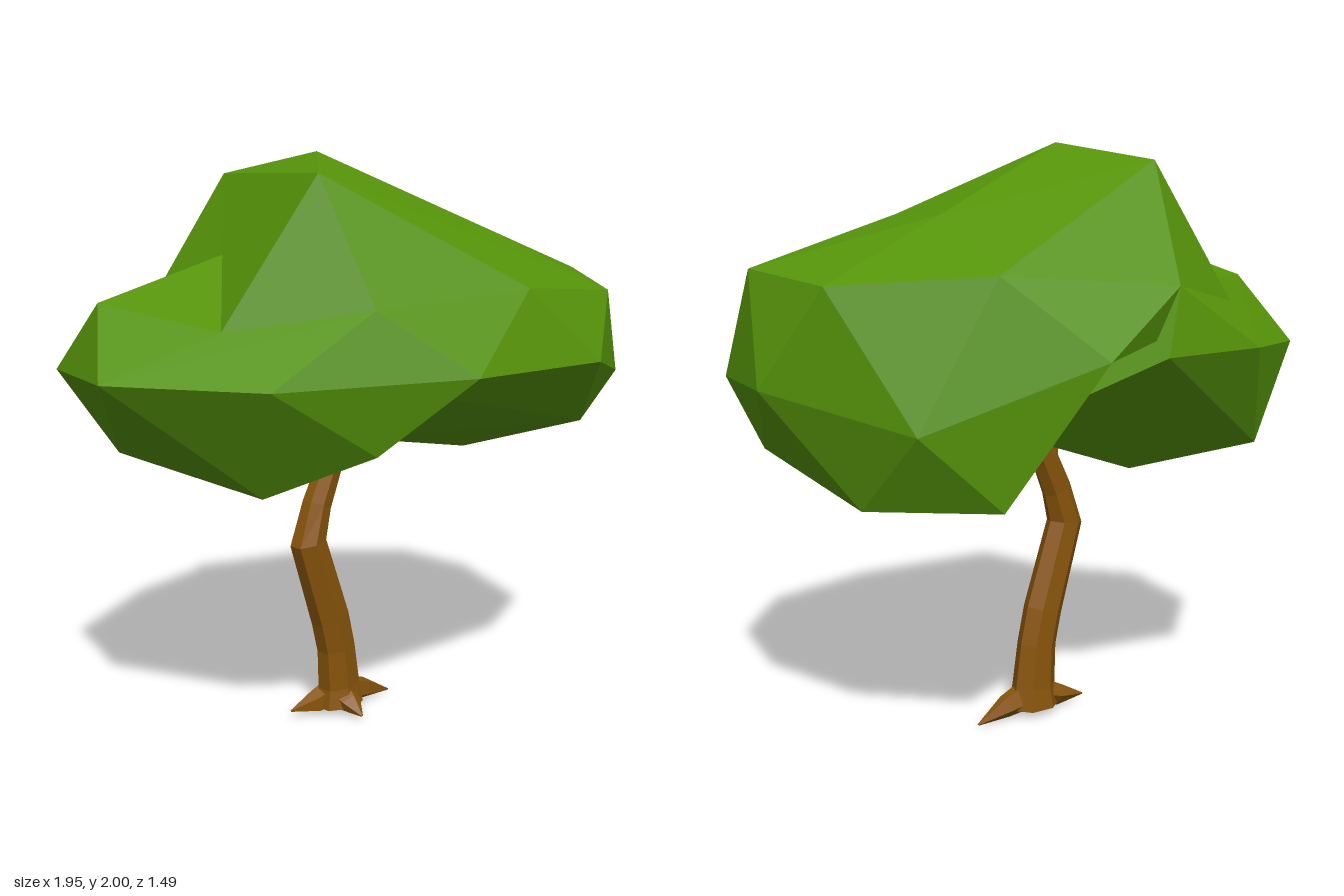
import * as THREE from 'three';
import { ConvexGeometry } from 'three/addons/geometries/ConvexGeometry.js';

const leafGreen = new THREE.MeshStandardMaterial({ color: 0x559309, flatShading: true });
leafGreen.name = 'leafGreen';
const barkBrown = new THREE.MeshStandardMaterial({ color: 0x88540b, flatShading: true });
barkBrown.name = 'barkBrown';

const v = (x, y, z) => new THREE.Vector3(x, y, z);

// Corners shared by the overlapping foliage clumps
const c = {
  peak: v(-0.15, 2, -0.03), frontCrest: v(-0.43, 1.93, 0.25), backCrest: v(-0.2, 1.93, -0.43),
  notch: v(-0.42, 1.68, -0.17), notchFront: v(-0.7, 1.47, 0.11), notchBack: v(-0.46, 1.46, -0.56),
  shoulder: v(-0.43, 1.54, 0.48), ridge: v(0.41, 1.755, -0.08), slope: v(0.26, 1.76, 0.33),
  backSlope: v(0.5, 1.58, -0.45), backValley: v(-0.05, 1.54, -0.67),
  endFront: v(0.87, 1.59, 0.3), endBack: v(0.87, 1.55, -0.1),
  brow: v(0.11, 1.58, 0.64), browEnd: v(0.62, 1.54, 0.61),
  rimA: v(-0.19, 1.335, 0.68), rimB: v(0.38, 1.33, 0.74), rimC: v(0.27, 1.33, -0.68),
  rimD: v(-0.73, 1.32, 0.35), rimE: v(-0.36, 1.335, -0.75), rimF: v(-0.98, 1.32, -0.12),
  crown: v(0.07, 1.2, -0.07), valley: v(0.29, 1.07, -0.24), lowFront: v(-0.59, 0.95, 0.16),
};

function clump(name, points) {
  const mesh = new THREE.Mesh(new ConvexGeometry(points), leafGreen);
  mesh.name = name;
  return mesh;
}

// Faceted tapering tube, slightly flattened, through [x, y, z, radius] stations
function limb(name, stations, sides) {
  const up = v(0, 1, 0);
  const pos = [], index = [];
  stations.forEach(([x, y, z, r], k) => {
    const a = stations[Math.max(k - 1, 0)], b = stations[Math.min(k + 1, stations.length - 1)];
    const dir = v(b[0] - a[0], b[1] - a[1], b[2] - a[2]).normalize();
    const turn = new THREE.Quaternion().setFromUnitVectors(up, dir);
    for (let i = 0; i < sides; i++) {
      const t = (i / sides) * Math.PI * 2;
      const p = v(Math.cos(t) * r, 0, Math.sin(t) * r * 0.8).applyQuaternion(turn);
      pos.push(x + p.x, Math.max(0, y + p.y), z + p.z);
      if (k === 0) continue;
      const hi = k * sides, lo = hi - sides, j = (i + 1) % sides;
      index.push(lo + i, hi + i, lo + j, lo + j, hi + i, hi + j);
    }
  });
  const geo = new THREE.BufferGeometry();
  geo.setAttribute('position', new THREE.Float32BufferAttribute(pos, 3));
  geo.setIndex(index);
  geo.computeVertexNormals();
  const mesh = new THREE.Mesh(geo, barkBrown);
  mesh.name = name;
  return mesh;
}

export function createModel() {
  const tree = new THREE.Group();
  tree.name = 'tree';

  // Foliage: domed top in three pieces, drooping clump on the left, lower clumps on the right
  const foliage = new THREE.Group();
  foliage.name = 'foliage';
  foliage.add(
    clump('topFrontFoliage', [
      c.peak, c.frontCrest, c.backCrest, c.notch, c.notchFront, c.shoulder, c.ridge,
      c.slope, c.brow, c.browEnd, c.rimA, c.rimB, c.rimC, c.crown,
    ]),
    clump('topBackFoliage', [
      c.peak, c.backCrest, c.notch, c.notchBack, c.backValley, c.ridge, c.backSlope,
      c.rimC, c.crown,
    ]),
    clump('topEndFoliage', [
      c.ridge, c.slope, c.backSlope, c.endFront, c.endBack, c.brow, c.browEnd,
      c.rimB, c.rimC, c.crown,
    ]),
    clump('leftFoliage', [
      c.rimB, c.rimC, c.endFront, c.endBack, c.browEnd, c.backSlope, c.crown, c.valley,
      v(0.97, 1.235, 0.11), v(0.83, 1.23, 0.53), v(0.73, 1.12, -0.35), v(0.54, 1.09, 0.57),
      v(0.84, 1.02, 0.29), v(0.75, 0.865, -0.1), v(0.5, 0.88, -0.47),
    ]),
    clump('rightFrontFoliage', [
      c.notchFront, c.shoulder, c.rimA, c.rimD, c.rimF, c.crown, c.lowFront, v(-0.41, 1.1, 0.47),
    ]),
    clump('rightBackFoliage', [
      c.notch, c.notchFront, c.notchBack, c.backValley, c.rimD, c.rimE, c.rimF, c.crown,
      c.valley, c.lowFront, v(-0.84, 1.54, -0.3), v(-0.84, 1.31, -0.54), v(0.02, 1.325, -0.69),
      v(-0.57, 0.98, -0.59), v(-0.19, 0.905, -0.35),
    ]),
  );
  tree.add(foliage);

  // Bent trunk
  tree.add(limb('trunk', [
    [-0.01, 0.025, -0.07, 0.001], [-0.01, 0.026, -0.07, 0.1], [-0.01, 0.1, -0.07, 0.085],
    [-0.025, 0.25, -0.07, 0.077], [-0.055, 0.37, -0.07, 0.077], [-0.163, 0.675, -0.07, 0.071],
    [-0.12, 0.8, -0.07, 0.058], [-0.06, 0.92, -0.07, 0.052], [-0.01, 0.99, -0.07, 0.044],
  ], 7));

  // Branches reaching into the foliage
  const branches = [
    [[-0.08, 0.87, -0.07, 0.035], [-0.135, 1.02, -0.04, 0.024], [-0.13, 1.14, -0.02, 0.012]],
    [[-0.03, 0.95, -0.07, 0.042], [0.03, 1.04, -0.06, 0.03], [0.035, 1.2, -0.05, 0.018]],
    [[-0.01, 0.98, -0.07, 0.035], [0.07, 1.05, -0.07, 0.02], [0.15, 1.15, -0.08, 0.01]],
  ];
  branches.forEach((b, i) => tree.add(limb('branch' + (i + 1), b, 5)));

  // Roots flaring out from the base
  const roots = [[0.23, 0.005, -0.04], [-0.2, 0.03, -0.13], [-0.04, 0.02, 0.075]];
  roots.forEach(([x, y, z], i) => tree.add(limb('root' + (i + 1), [
    [-0.01, 0.075, -0.07, 0.06],
    [-0.01 + (x + 0.01) * 0.5, 0.045, -0.07 + (z + 0.07) * 0.5, 0.042],
    [x, y, z, 0.003],
  ], 5)));

  return tree;
}
